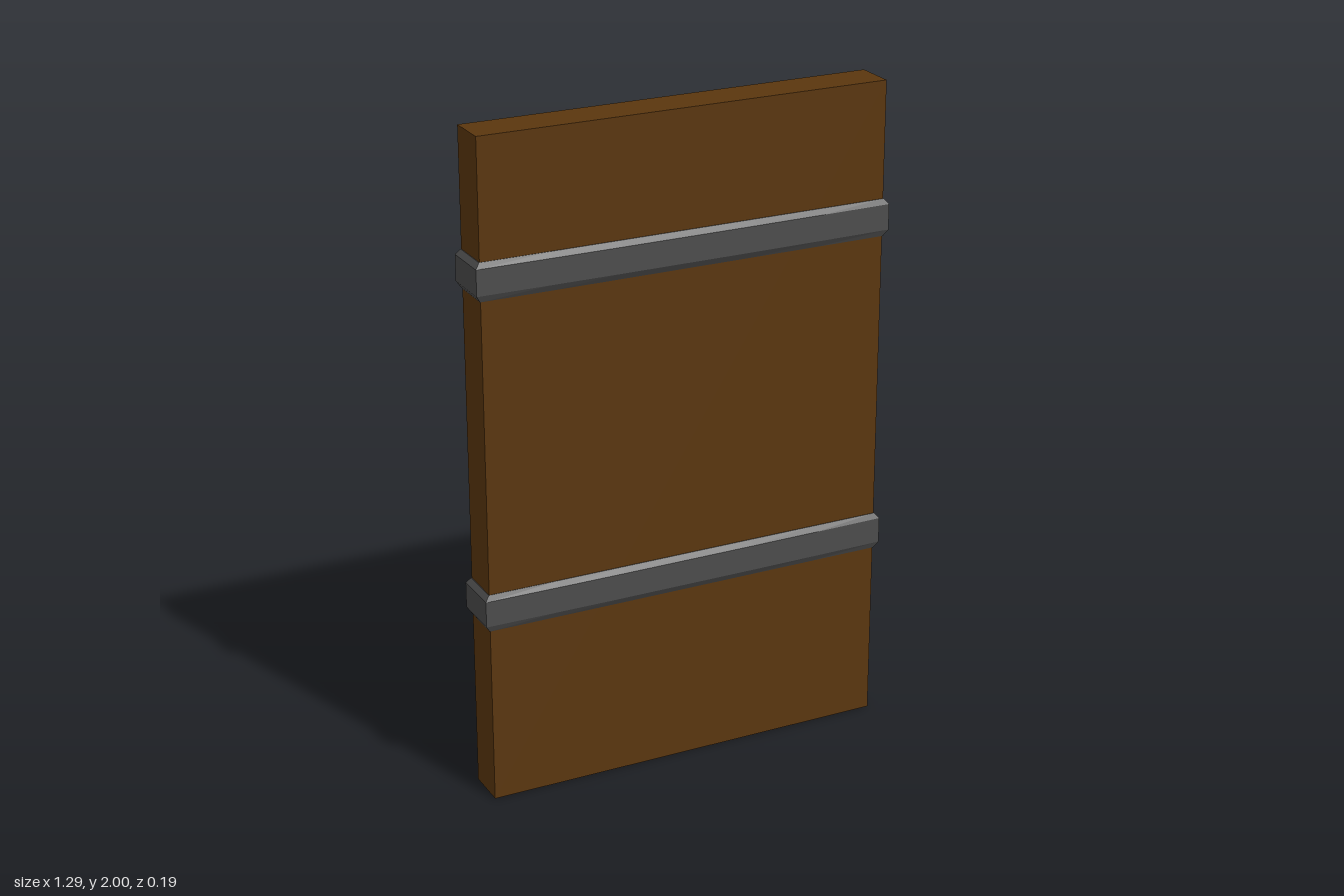
import * as THREE from 'three';

const wood = new THREE.MeshStandardMaterial({ name: 'brownWood', color: 0x5a360e });
const iron = new THREE.MeshStandardMaterial({ name: 'darkIron', color: 0x4c4c4c });
const steel = new THREE.MeshStandardMaterial({ name: 'greySteel', color: 0x747474 });

const HALF_W = 0.628, FRONT = 0.078, BACK = -0.049;

function box(name, material, [x0, x1], [y0, y1], [z0, z1]) {
  const mesh = new THREE.Mesh(new THREE.BoxGeometry(x1 - x0, y1 - y0, z1 - z0), material);
  mesh.position.set((x0 + x1) / 2, (y0 + y1) / 2, (z0 + z1) / 2);
  mesh.name = name;
  return mesh;
}

// Outline of the door seen from above, pushed out by d, faintly bowed along its wide faces
function outline(d) {
  const xs = [-1, -0.66, -0.33, 0.33, 0.66, 1];
  const bow = (t) => (d > 0 ? d * (1 - 0.3 * t * t) : d);
  const front = xs.map((t) => [t * (HALF_W + d), FRONT + bow(t)]);
  const back = xs.map((t) => [-t * (HALF_W + d), BACK - bow(t)]);
  return [...front, ...back];
}

// Iron strap wrapped round the door, with bevelled upper and lower edges
function strap(name, bottom, top) {
  const rings = [
    [-0.01, bottom], [0.002, bottom], [0.015, bottom + 0.02],
    [0.015, top - 0.016], [0.002, top], [-0.01, top],
  ].map(([d, y]) => outline(d).map(([x, z]) => [x, y, z]));
  const pos = [];
  for (let i = 0; i < rings.length - 1; i++) {
    const n = rings[i].length;
    for (let j = 0; j < n; j++) {
      const k = (j + 1) % n;
      const a = rings[i][j], b = rings[i][k], c = rings[i + 1][k], d = rings[i + 1][j];
      pos.push(...a, ...b, ...c, ...a, ...c, ...d);
    }
  }
  const geometry = new THREE.BufferGeometry();
  geometry.setAttribute('position', new THREE.Float32BufferAttribute(pos, 3));
  geometry.computeVertexNormals(); // unshared corners keep the facets flat
  const mesh = new THREE.Mesh(geometry, iron);
  mesh.name = name;
  return mesh;
}

export function createModel() {
  const door = new THREE.Group();
  door.name = 'door';
  door.add(
    box('doorPanel', wood, [-HALF_W, HALF_W], [0, 2], [BACK, FRONT]),
    strap('upperStrap', 1.537, 1.65),
    strap('lowerStrap', 0.545, 0.659),
    // Square handle on the back face
    box('handle', steel, [-0.374, -0.26], [1.026, 1.139], [-0.094, BACK + 0.005]),
  );
  return door;
}
